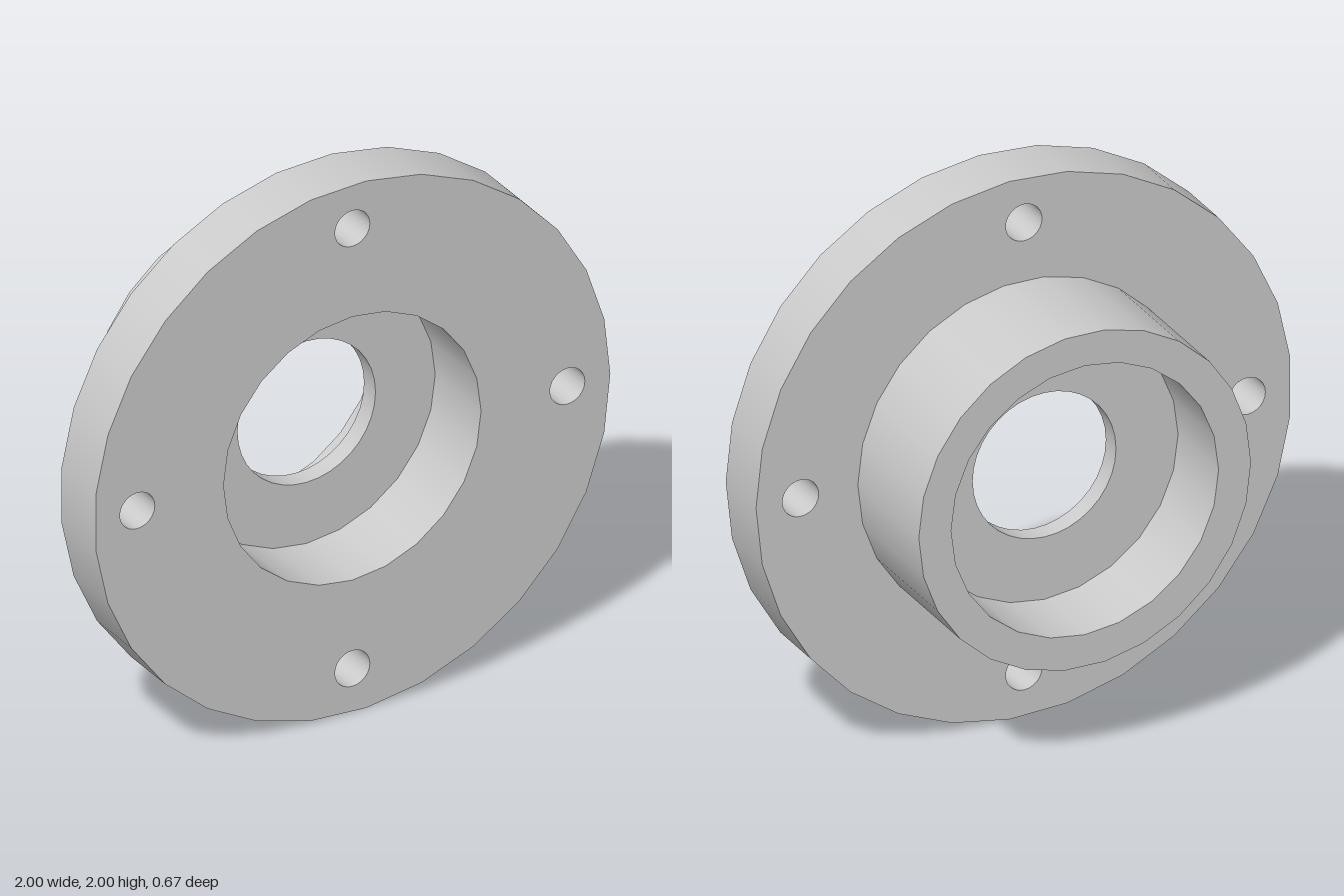
import * as THREE from 'three';

// Radii, depths and side counts of the flanged hub (axis along z)
const FLANGE = { r: 1.0015, n: 29 };
const HUB = { r: 0.621, n: 26 };
const RECESS = { r: 0.5, n: 24 };
const BORE = { r: 0.268, n: 36 };
const BOLT = { r: 0.068, n: 24 };
const BOLT_CIRCLE = 0.835;
const Z = { front: 0.333, step: 0.112, webFront: 0.037, webBack: -0.037, back: -0.333 };

const boltCentres = [0, 1, 2, 3].map((i) => [
  BOLT_CIRCLE * Math.cos((i * Math.PI) / 2),
  BOLT_CIRCLE * Math.sin((i * Math.PI) / 2),
]);

export function createModel() {
  const model = new THREE.Group();
  model.name = 'flangedHub';
  const steel = new THREE.MeshStandardMaterial({ color: 0xcccccc });
  steel.name = 'lightGreyMetal';

  const add = (name, geometry) => {
    const mesh = new THREE.Mesh(geometry, steel);
    mesh.name = name;
    model.add(mesh);
    return mesh;
  };

  // Turns a surface inside out
  const flip = (geometry) => {
    const index = geometry.index;
    for (let i = 0; i < index.count; i += 3) {
      const a = index.getX(i);
      index.setX(i, index.getX(i + 2));
      index.setX(i + 2, a);
    }
    const normal = geometry.attributes.normal;
    for (let i = 0; i < normal.array.length; i++) normal.array[i] *= -1;
    return geometry;
  };

  // Smooth round wall between two depths, facing out or in
  const wall = (name, { r, n }, z0, z1, inward = false, [x, y] = [0, 0]) => {
    const g = new THREE.CylinderGeometry(r, r, z1 - z0, n, 1, true, Math.PI / 2);
    g.rotateX(Math.PI / 2).translate(x, y, (z0 + z1) / 2);
    return add(name, inward ? flip(g) : g);
  };

  const circle = ({ r, n }, [x, y] = [0, 0]) =>
    Array.from({ length: n }, (_, i) => {
      const a = (i / n) * Math.PI * 2;
      return new THREE.Vector2(x + r * Math.cos(a), y + r * Math.sin(a));
    });

  // Flat ring at one depth, with optional bolt holes
  const ring = (name, outer, inner, z, facingBack, bolts = false) => {
    const shape = new THREE.Shape(circle(outer));
    shape.holes.push(new THREE.Path(circle(inner)));
    if (bolts) boltCentres.forEach((c) => shape.holes.push(new THREE.Path(circle(BOLT, c))));
    const g = new THREE.ShapeGeometry(shape).translate(0, 0, z);
    return add(name, facingBack ? flip(g) : g);
  };

  // Bolting flange
  ring('flangeFront', FLANGE, RECESS, Z.front, false, true);
  ring('flangeBack', FLANGE, HUB, Z.step, true, true);
  wall('flangeRim', FLANGE, Z.step, Z.front);
  boltCentres.forEach((c, i) => wall('boltHole' + (i + 1), BOLT, Z.step, Z.front, true, c));

  // Hub collar
  wall('hubWall', HUB, Z.back, Z.step);
  ring('hubEnd', HUB, RECESS, Z.back, true);

  // Recesses either side of the web, joined by the bore
  wall('frontRecess', RECESS, Z.webFront, Z.front, true);
  wall('backRecess', RECESS, Z.back, Z.webBack, true);
  ring('webFront', RECESS, BORE, Z.webFront, false);
  ring('webBack', RECESS, BORE, Z.webBack, true);
  wall('bore', BORE, Z.webBack, Z.webFront, true);

  model.position.set(-0.003, 1, 0);
  const root = new THREE.Group();
  root.name = 'model';
  root.add(model);
  return root;
}
